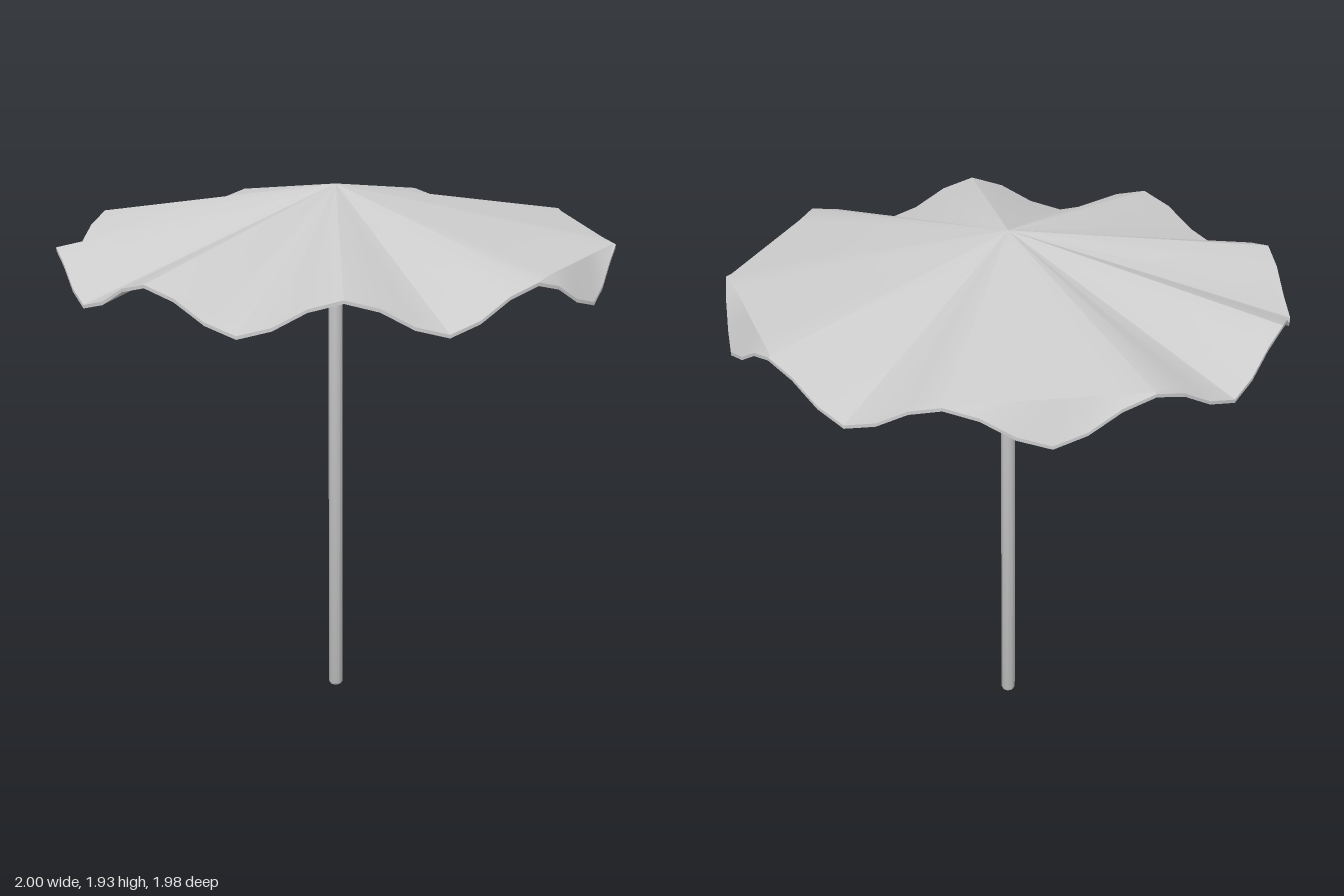
import * as THREE from 'three';
import { mergeVertices, toCreasedNormals } from 'three/addons/utils/BufferGeometryUtils.js';

const LOBES = 9, STEPS = 6, COUNT = LOBES * STEPS;
const APEX = 1.932, RIM_MID = 1.677, WAVE = 0.065, THICK = 0.012;
const TAUT = [0, 5.999, 8]; // panels stretched flat between two crests
const isTaut = (panel) => TAUT.some((p) => Math.round(p) === panel);

const rimHeight = (a) => RIM_MID + WAVE * Math.cos(LOBES * a);

// Wavy cloth: apex, a ring along the chords between crests, and the rim
function canopyGeometry() {
  const position = [], index = [];
  const half = Math.PI / LOBES;
  const crestDrop = APEX - RIM_MID - WAVE;

  // One shell: vertex 0 is the apex, then chord ring, then rim ring
  const addShell = (drop) => {
    position.push(0, APEX - drop, 0);
    for (const ring of [0, 1]) {
      for (let i = 0; i < COUNT; i++) {
        const a = (i / COUNT) * Math.PI * 2;
        const panel = Math.floor(i / STEPS);
        const rim = 1 - 0.012 * Math.sin(LOBES * a) ** 2;
        let r = rim, y = rimHeight(a);
        if (ring === 0) {
          const chord = Math.cos(half) / Math.cos(a - (panel + 0.5) * 2 * half);
          r = 0.99 * chord;
          y = isTaut(panel) ? APEX - crestDrop * 0.99 : APEX - (APEX - y) * (r / rim);
        }
        position.push(r * Math.cos(a), y - drop, r * Math.sin(a));
      }
    }
  };
  addShell(0);
  addShell(THICK);

  const base = 1 + 2 * COUNT;
  for (let i = 0; i < COUNT; i++) {
    const j = (i + 1) % COUNT;
    const c0 = 1 + i, c1 = 1 + j, r0 = c0 + COUNT, r1 = c1 + COUNT;
    const top = [0, c1, c0, c0, c1, r1, c0, r1, r0];
    index.push(...top);
    // Underside with reversed winding
    for (let k = 0; k < top.length; k += 3) {
      index.push(base + top[k], base + top[k + 2], base + top[k + 1]);
    }
    // Hem joining both shells
    index.push(r0, r1, base + r1, r0, base + r1, base + r0);
  }

  const geometry = new THREE.BufferGeometry();
  geometry.setAttribute('position', new THREE.Float32BufferAttribute(position, 3));
  geometry.setIndex(index);
  return toCreasedNormals(mergeVertices(geometry), 0.4);
}

// Octagonal pole with a small chamfer at the foot
function poleGeometry() {
  const profile = [[0, 0], [0.021, 0], [0.026, 0.008], [0.026, 1.9], [0, 1.9]]
    .map(([x, y]) => new THREE.Vector2(x, y));
  return toCreasedNormals(new THREE.LatheGeometry(profile, 8), 0.9);
}

export function createModel() {
  const group = new THREE.Group();
  group.name = 'parasol';
  const material = new THREE.MeshStandardMaterial({ color: 0xcccccc });

  const canopy = new THREE.Mesh(canopyGeometry(), material);
  canopy.name = 'canopy';
  const pole = new THREE.Mesh(poleGeometry(), material);
  pole.name = 'pole';

  group.add(canopy, pole);
  return group;
}
